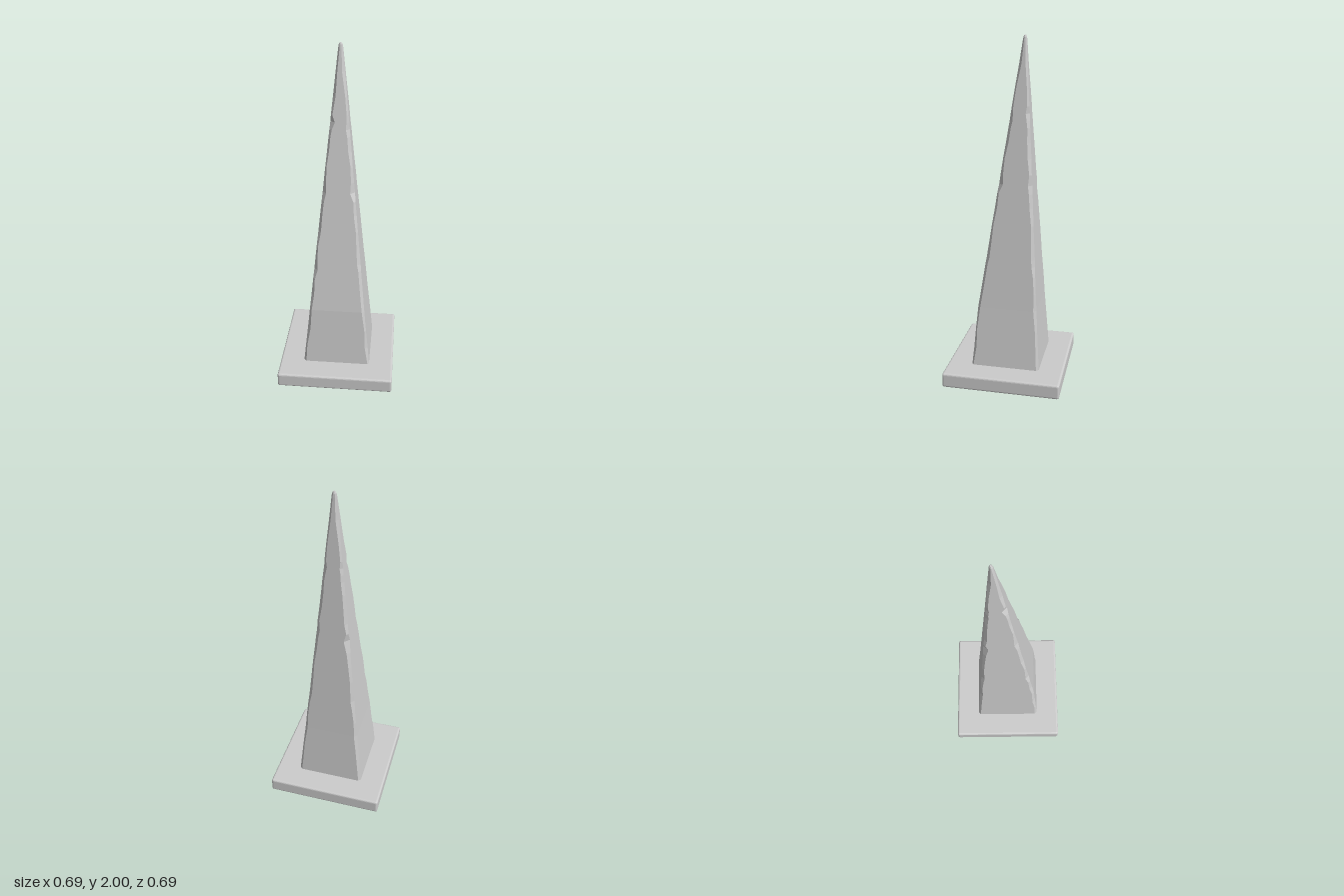
import * as THREE from 'three';
import { RoundedBoxGeometry } from 'three/addons/geometries/RoundedBoxGeometry.js';

// Piecewise linear lookup in a list of [y, value]
function along(list, y) {
  for (let i = 1; i < list.length; i++) {
    const [y0, a] = list[i - 1], [y1, b] = list[i];
    if (y <= y1) return a + (b - a) * (y - y0) / (y1 - y0);
  }
  return list[list.length - 1][1];
}

function seeded(seed) {
  return () => (seed = (seed * 16807) % 2147483647) / 2147483647;
}

// Leaning four-sided spire: each level is a rectangle with worn, chipped corners
function spireGeometry() {
  const half = [[0.07, 0.203], [0.45, 0.164], [1.97, 0.014], [1.99, 0.011], [2, 0.006]];
  const front = [[0.07, 0.203], [0.45, 0.17], [1.97, -0.062], [1.99, -0.066], [2, -0.07]];
  const back = [[0.07, -0.203], [0.45, -0.178], [1.97, -0.086], [1.99, -0.084], [2, -0.081]];
  const levels = [0.07, 0.2, 0.32, 0.45, 0.55, 0.65, 0.71, 0.75, 0.85, 0.95, 1.05, 1.13,
    1.18, 1.24, 1.33, 1.42, 1.5, 1.54, 1.58, 1.62, 1.72, 1.85, 1.97, 1.99, 2];
  const chips = [0.73, 1.17, 1.56];
  const random = seeded(4711);
  const points = [], index = [];

  for (const y of levels) {
    const h = along(half, y), f = along(front, y), b = along(back, y);
    const chipped = chips.some((c) => Math.abs(c - y) < 0.05);
    const limit = 0.35 * Math.min(2 * h, f - b);
    // corners in order: front left, back left, back right, front right
    [[h, f], [h, b], [-h, b], [-h, f]].forEach(([x, z], i) => {
      const wear = 0.008 + 0.01 * random() + (chipped ? 0.012 * random() : 0);
      const c = Math.min(wear, limit);
      const onX = [x - Math.sign(x) * c, y, z];
      const onZ = [x, y, z + (z === f ? -c : c)];
      points.push(...(i % 2 ? [...onZ, ...onX] : [...onX, ...onZ]));
    });
  }

  for (let r = 0; r < levels.length - 1; r++) {
    for (let i = 0; i < 8; i++) {
      const a = r * 8 + i, b = r * 8 + (i + 1) % 8;
      index.push(a, b, b + 8, a, b + 8, a + 8);
    }
  }
  const top = (levels.length - 1) * 8;
  for (let i = 1; i < 7; i++) index.push(top, top + i, top + i + 1);

  const geometry = new THREE.BufferGeometry();
  geometry.setAttribute('position', new THREE.Float32BufferAttribute(points, 3));
  geometry.setIndex(index);
  geometry.computeVertexNormals();
  return geometry;
}

export function createModel() {
  const group = new THREE.Group();
  const material = new THREE.MeshStandardMaterial({ color: 0xcccccc, flatShading: true });

  // Square plinth with softened edges
  const plinth = new THREE.Mesh(new RoundedBoxGeometry(0.692, 0.088, 0.692, 2, 0.012), material);
  plinth.position.y = 0.044;
  plinth.name = 'plinth';

  const spire = new THREE.Mesh(spireGeometry(), material);
  spire.name = 'spire';

  group.add(plinth, spire);
  return group;
}
